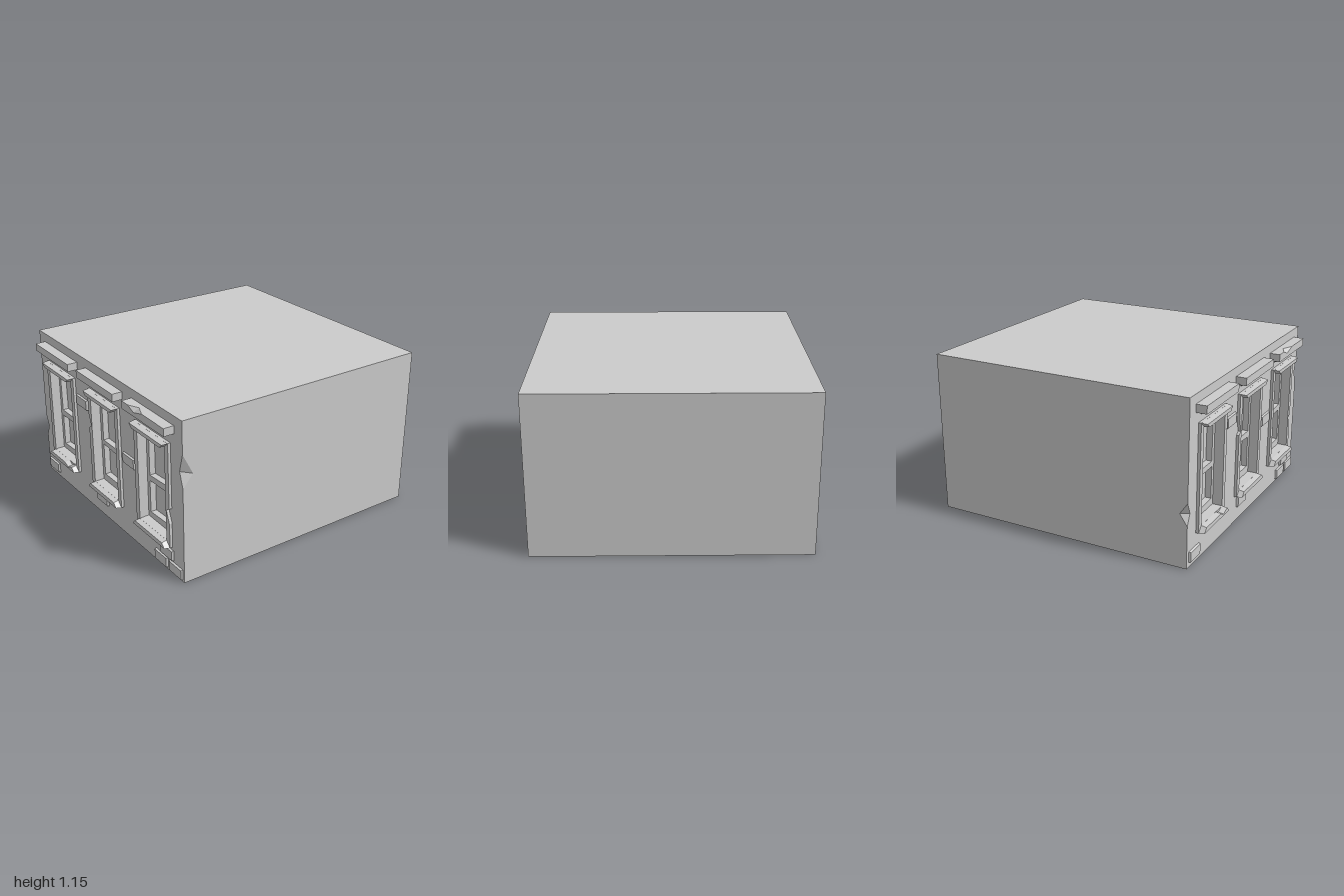
import * as THREE from 'three';
import { mergeGeometries } from 'three/addons/utils/BufferGeometryUtils.js';

const material = new THREE.MeshStandardMaterial({ color: 0xcccccc, flatShading: true, side: THREE.DoubleSide });
const vectors = pts => pts.map(p => new THREE.Vector2(...p));
const rect = (x0, x1, y0, y1) => [[x0, y0], [x1, y0], [x1, y1], [x0, y1]];

function addMesh(parent, name, geometry) {
  const mesh = new THREE.Mesh(geometry, material);
  mesh.name = name;
  parent.add(mesh);
  return mesh;
}

function outline(points, holes = []) {
  const shape = new THREE.Shape(vectors(points));
  shape.holes = holes.map(h => new THREE.Path(vectors(h)));
  return shape;
}

function slab(points, holes, z0, z1) {
  return new THREE.ExtrudeGeometry(outline(points, holes), { depth: z1 - z0, bevelEnabled: false }).translate(0, 0, z0);
}

// Solid between two matching counter-clockwise polygons at z0 (back) and z1 (front)
function prism(back, front, z0, z1) {
  const pos = [];
  const tri = (...corners) => corners.forEach(c => pos.push(...c));
  const b = back.map(p => [...p, z0]), f = front.map(p => [...p, z1]);
  THREE.ShapeUtils.triangulateShape(vectors(front), []).forEach(([i, j, k]) => tri(f[i], f[j], f[k]));
  THREE.ShapeUtils.triangulateShape(vectors(back), []).forEach(([i, j, k]) => tri(b[k], b[j], b[i]));
  b.forEach((_, i) => {
    const j = (i + 1) % b.length;
    tri(b[i], b[j], f[j]);
    tri(b[i], f[j], f[i]);
  });
  const g = new THREE.BufferGeometry();
  g.setAttribute('position', new THREE.Float32BufferAttribute(pos, 3));
  g.computeVertexNormals();
  return g;
}

// Box made of six panels; panels may have notched outlines, and chips close the notches.
// Each chip is [edge end, edge end, point on one panel, point on the other].
function shell([x0, x1, y0, y1, z0, z1], panels = {}, chips = [], holes = []) {
  const panel = (points, cut = []) => {
    const g = new THREE.ShapeGeometry(outline(points, cut)).toNonIndexed();
    g.deleteAttribute('uv');
    return g;
  };
  const parts = [
    panel(panels.front || rect(x0, x1, y0, y1), holes).translate(0, 0, z1),
    panel(rect(-x1, -x0, y0, y1)).rotateY(Math.PI).translate(0, 0, z0),
    panel(panels.right || rect(-z1, -z0, y0, y1)).rotateY(Math.PI / 2).translate(x1, 0, 0),
    panel(panels.left || rect(z0, z1, y0, y1)).rotateY(-Math.PI / 2).translate(x0, 0, 0),
    panel(panels.top || rect(x0, x1, -z1, -z0)).rotateX(-Math.PI / 2).translate(0, y1, 0),
    panel(rect(x0, x1, z0, z1)).rotateX(Math.PI / 2).translate(0, y0, 0),
  ];
  chips.forEach(([a, b, c, d]) => {
    const g = new THREE.BufferGeometry();
    g.setAttribute('position', new THREE.Float32BufferAttribute([a, d, c, b, c, d].flat(), 3));
    g.computeVertexNormals();
    parts.push(g);
  });
  return mergeGeometries(parts);
}

export function createModel() {
  const model = new THREE.Group();
  model.name = 'buildingFacade';
  const X = 0.96, H = 1.155, Z = 0.925;
  const centres = [-0.625, 0, 0.62];

  // Main block with window openings and two chipped corners
  addMesh(model, 'buildingBlock', shell([-X, X, 0, H, -1, Z], {
    front: [[-X, 0], [X, 0], [X, 0.69], [0.925, 0.8], [X, 0.93], [X, H], [-X, H], [-X, 0.46], [-0.925, 0.38], [-X, 0.3]],
    right: [[-Z, 0], [1, 0], [1, H], [-Z, H], [-Z, 0.93], [-0.85, 0.78], [-Z, 0.69]],
    left: [[-1, 0], [Z, 0], [Z, 0.3], [0.87, 0.38], [Z, 0.46], [Z, H], [-1, H]],
  }, [
    [[X, 0.93, Z], [X, 0.69, Z], [0.925, 0.8, Z], [X, 0.78, 0.85]],
    [[-X, 0.3, Z], [-X, 0.46, Z], [-0.925, 0.38, Z], [-X, 0.38, 0.87]],
  ], centres.map(c => rect(c - 0.18, c + 0.18, 0.23, 0.93))));

  // Outer frame outlines, two of them with a chipped side
  const frames = [
    rect(-0.206, 0.206, 0.201, 0.955),
    [[-0.206, 0.201], [0.206, 0.201], [0.206, 0.955], [-0.206, 0.955], [-0.206, 0.77], [-0.175, 0.68], [-0.206, 0.66]],
    [[-0.206, 0.201], [0.206, 0.201], [0.206, 0.38], [0.172, 0.47], [0.206, 0.49], [0.206, 0.955], [-0.206, 0.955]],
  ];
  // Slightly uneven sash openings, lower then upper
  const panes = [
    [[[-0.135, 0.283], [0.135, 0.294], [0.135, 0.525], [-0.135, 0.52]], [[-0.135, 0.565], [0.13, 0.565], [0.135, 0.865], [-0.14, 0.873]]],
    [[[-0.135, 0.294], [0.135, 0.294], [0.135, 0.52], [-0.135, 0.535]], [[-0.135, 0.567], [0.135, 0.567], [0.135, 0.873], [-0.135, 0.868]]],
    [[[-0.135, 0.283], [0.135, 0.294], [0.135, 0.533], [-0.135, 0.52]], [[-0.135, 0.562], [0.135, 0.58], [0.135, 0.873], [-0.135, 0.866]]],
  ];

  centres.forEach((c, i) => {
    const win = new THREE.Group();
    win.name = 'window';
    win.position.x = c;
    model.add(win);
    addMesh(win, 'windowFrame', slab(frames[i], [rect(-0.165, 0.165, 0.242, 0.918)], 0.84, 0.945));
    addMesh(win, 'sash', slab(rect(-0.175, 0.175, 0.235, 0.925), panes[i], 0.825, 0.875));
    addMesh(win, 'pane', new THREE.PlaneGeometry(0.34, 0.68).translate(0, 0.58, 0.832));

    // Raised mouldings with mitred ends
    addMesh(win, 'headMoulding', prism(
      [[-0.165, 0.918], [0.165, 0.918], [0.206, 0.955], [-0.206, 0.955]],
      [[-0.168, 0.924], [0.168, 0.924], [0.197, 0.951], [-0.197, 0.951]], 0.94, 0.984));
    const chip = i === 0 ? 0.02 : 0;
    const sill = (outer, inner, y0, y1) => [[-outer, y0], [outer, y0], [inner, y1], [0.155, y1], [0.105, y1 - chip], [0.06, y1], [-inner, y1]];
    addMesh(win, 'sillMoulding', prism(
      sill(0.206, 0.165, 0.201, 0.242), sill(0.197, 0.168, 0.205, 0.236), 0.94, 0.984));

    // Cornice above the window, the last one chipped on its top edge
    const box = [-0.25, 0.25, 1.035, 1.09, 0.92, 1];
    const chipped = i === 2;
    addMesh(win, 'cornice', chipped ? shell(box, {
      front: [[-0.25, 1.035], [0.25, 1.035], [0.25, 1.09], [0, 1.09], [-0.1, 1.063], [-0.17, 1.09], [-0.25, 1.09]],
      top: [[-0.25, -1], [-0.17, -1], [-0.09, -0.963], [0, -1], [0.25, -1], [0.25, -0.92], [-0.25, -0.92]],
    }, [[[-0.17, 1.09, 1], [0, 1.09, 1], [-0.1, 1.063, 1], [-0.09, 1.09, 0.963]]]) : shell(box));
    addMesh(win, 'corniceSupport', prism(
      [[-0.168, 1], [0.168, 1], [0.2, 1.036], [-0.2, 1.036]],
      [[-0.185, 1.018], [0.185, 1.018], [0.2, 1.036], [-0.2, 1.036]], 0.92, 0.98));
  });

  // Exposed bricks: centre x, centre y
  const bricks = [[-0.32, 0.805], [0.315, 0.612], [-0.085, 0.14], [-0.855, 0.072], [0.765, 0.14], [0.695, 0.053], [0.87, 0.053]];
  bricks.forEach(([x, y]) => {
    const brick = addMesh(model, 'brick', prism(
      rect(-0.076, 0.076, -0.039, 0.039), rect(-0.07, 0.07, -0.034, 0.034), 0.92, 0.94));
    brick.position.set(x, y, 0);
  });
  return model;
}
